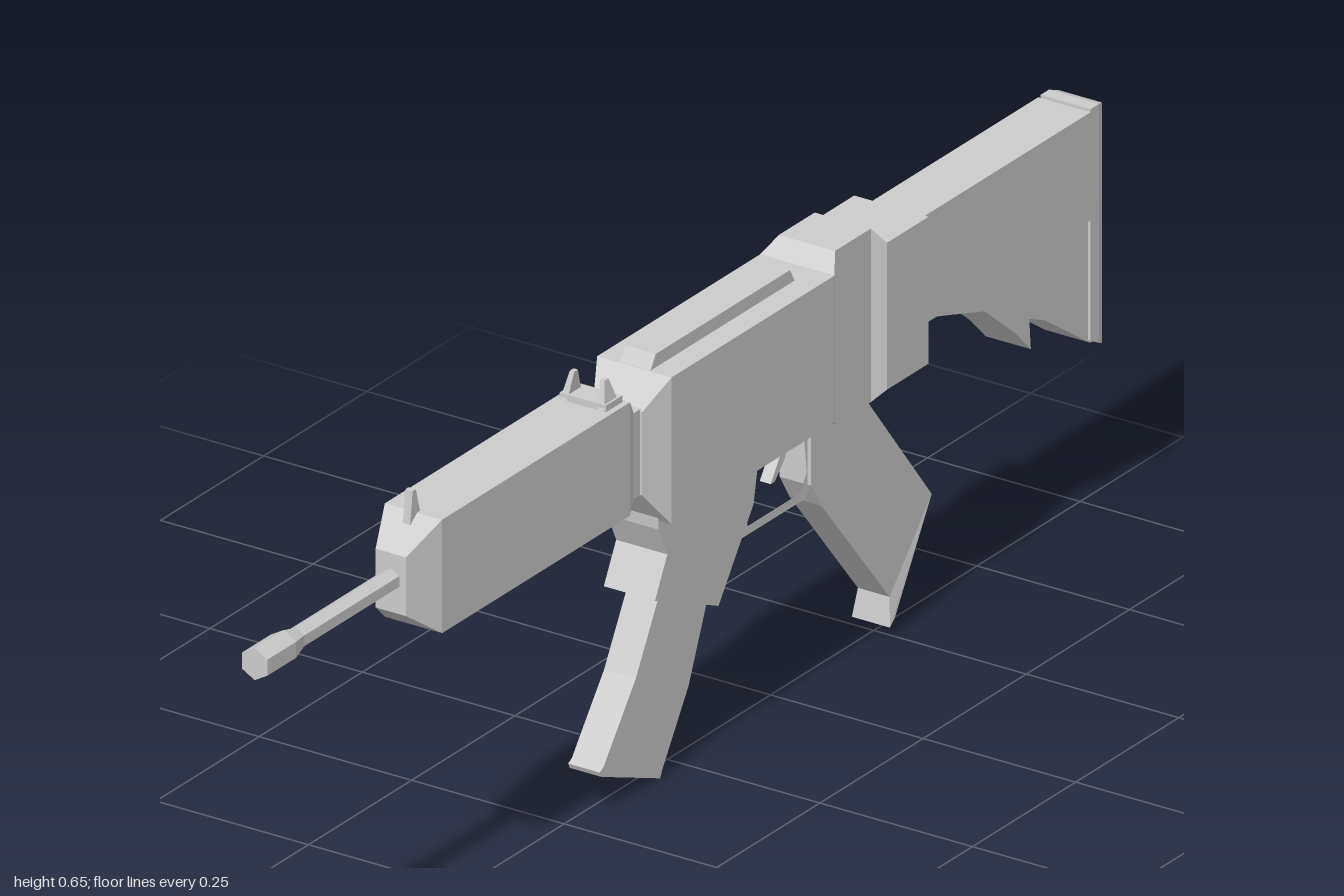
import * as THREE from 'three';

const material = new THREE.MeshStandardMaterial({ color: 0xcccccc, flatShading: true });

export function createModel() {
  const model = new THREE.Group();
  const add = (name, geometry) => {
    const mesh = new THREE.Mesh(geometry, material);
    mesh.name = name;
    model.add(mesh);
    return mesh;
  };

  // Side profile of [z, y] points, extruded across x and centred
  const profile = (points, halfWidth, hole) => {
    const toVectors = (list) => list.map(([z, y]) => new THREE.Vector2(z, y));
    const shape = new THREE.Shape(toVectors(points));
    if (hole) shape.holes.push(new THREE.Path(toVectors(hole)));
    const geometry = new THREE.ExtrudeGeometry(shape, { depth: halfWidth * 2, bevelEnabled: false });
    return geometry.translate(0, 0, -halfWidth).rotateY(-Math.PI / 2);
  };

  // Rectangular sections [z, halfWidth, bottom, top], listed front to back
  const loft = (sections) => {
    const rings = sections.map(([z, w, b, t]) => [[-w, b, z], [w, b, z], [w, t, z], [-w, t, z]]);
    const positions = [];
    const quad = (a, b, c, d) => positions.push(...a, ...b, ...c, ...a, ...c, ...d);
    quad(...rings[0]);
    for (let i = 0; i < rings.length - 1; i++) {
      const a = rings[i], b = rings[i + 1];
      for (let k = 0; k < 4; k++) {
        const n = (k + 1) % 4;
        quad(a[n], a[k], b[k], b[n]);
      }
    }
    quad(...rings[rings.length - 1].slice().reverse());
    const geometry = new THREE.BufferGeometry();
    geometry.setAttribute('position', new THREE.Float32BufferAttribute(positions, 3));
    geometry.computeVertexNormals();
    return geometry;
  };

  // Six-sided barrel with a flared muzzle
  const barrelProfile = [[0, 0.6], [0.016, 0.6], [0.016, 0.9], [0.024, 0.93], [0.024, 1], [0, 1]];
  const barrel = new THREE.LatheGeometry(barrelProfile.map(([r, z]) => new THREE.Vector2(r, z)), 6);
  add('barrel', barrel.rotateX(Math.PI / 2)).position.y = 0.532;

  // Handguard with tapered ends and the neck behind it
  add('handguard', loft([
    [0.67, 0.025, 0.483, 0.571], [0.615, 0.047, 0.442, 0.612],
    [0.16, 0.047, 0.442, 0.612], [0.135, 0.036, 0.455, 0.583], [0.1, 0.036, 0.455, 0.583],
  ]));

  // Receiver with the raised, waisted collar near its back
  add('receiver', loft([
    [0.12, 0.04, 0.455, 0.58], [0.08, 0.061, 0.402, 0.622], [-0.315, 0.061, 0.402, 0.622],
    [-0.338, 0.046, 0.386, 0.646], [-0.425, 0.046, 0.386, 0.646],
    [-0.442, 0.061, 0.402, 0.622], [-0.543, 0.061, 0.402, 0.622],
  ]));
  add('topRail', profile([[0.085, 0.61], [0.065, 0.642], [-0.26, 0.642], [-0.278, 0.61]], 0.025));

  // Sights: a single front post and a pair of rear prongs on a base
  add('frontSight', profile([[0.632, 0.6], [0.626, 0.648], [0.618, 0.648], [0.605, 0.6]], 0.006));
  add('rearSightBase', loft([[0.205, 0.038, 0.6, 0.622], [0.165, 0.038, 0.6, 0.622]]));
  for (const side of [-1, 1]) {
    const prong = profile([[0.207, 0.61], [0.194, 0.653], [0.185, 0.653], [0.17, 0.61]], 0.006);
    const p = prong.attributes.position;
    // Lean each prong inwards
    for (let i = 0; i < p.count; i++) {
      const rise = (p.getY(i) - 0.61) / 0.043;
      p.setX(i, p.getX(i) * (1 - rise * 0.4) + side * (0.031 - rise * 0.006));
    }
    prong.computeVertexNormals();
    add(side > 0 ? 'leftRearSight' : 'rightRearSight', prong);
  }

  // Magazine well and curved magazine
  add('magazineWell', profile([
    [0.085, 0.41], [0.083, 0.39], [0.062, 0.345], [0.092, 0.287],
    [-0.062, 0.22], [-0.147, 0.34], [-0.16, 0.41],
  ], 0.042));
  add('magazine', profile([
    [0.06, 0.31], [0.06, 0.275], [0.115, 0.175], [0.193, 0.073], [0.202, 0.068],
    [0.198, 0.06], [0.056, 0.003], [0.05, 0.015], [-0.013, 0.115], [-0.06, 0.23], [-0.05, 0.31],
  ], 0.026));

  // Trigger and its guard
  add('triggerGuard', profile(
    [[-0.13, 0.405], [-0.135, 0.33], [-0.152, 0.281], [-0.305, 0.281], [-0.335, 0.31], [-0.335, 0.405]],
    0.02,
    [[-0.18, 0.388], [-0.152, 0.345], [-0.165, 0.294], [-0.292, 0.294], [-0.308, 0.32], [-0.3, 0.388]]
  ));
  add('trigger', profile([
    [-0.25, 0.4], [-0.26, 0.36], [-0.237, 0.326], [-0.247, 0.326], [-0.272, 0.352], [-0.285, 0.4],
  ], 0.009));

  // Raked pistol grip, flared at its lower tip
  const grip = profile([
    [-0.31, 0.4], [-0.31, 0.3], [-0.335, 0.26], [-0.5, 0.06], [-0.493, 0.018],
    [-0.505, 0.028], [-0.602, 0.175], [-0.437, 0.385], [-0.437, 0.4],
  ], 0.026);
  const gripPoints = grip.attributes.position;
  for (let i = 0; i < gripPoints.count; i++) {
    if (gripPoints.getY(i) < 0.05) gripPoints.setX(i, gripPoints.getX(i) * 1.2);
  }
  grip.computeVertexNormals();
  add('pistolGrip', grip);

  // Shoulder stock: neck, notched core, upper slab and butt plate
  add('stockNeck', loft([[-0.53, 0.035, 0.47, 0.6], [-0.58, 0.035, 0.47, 0.6]]));
  add('stockCore', profile([
    [-0.558, 0.6], [-0.558, 0.455], [-0.605, 0.443], [-0.714, 0.408], [-0.79, 0.345],
    [-0.826, 0.308], [-0.822, 0.355], [-0.86, 0.338], [-0.97, 0.262], [-0.98, 0.262], [-0.98, 0.6],
  ], 0.037));
  add('stockSlab', loft([
    [-0.552, 0.038, 0.455, 0.608], [-0.562, 0.043, 0.45, 0.612], [-0.962, 0.043, 0.45, 0.612],
  ]));
  add('buttPlate', loft([
    [-0.965, 0.041, 0.268, 0.615], [-0.985, 0.041, 0.257, 0.615], [-1, 0.036, 0.25, 0.61],
  ]));

  return model;
}
